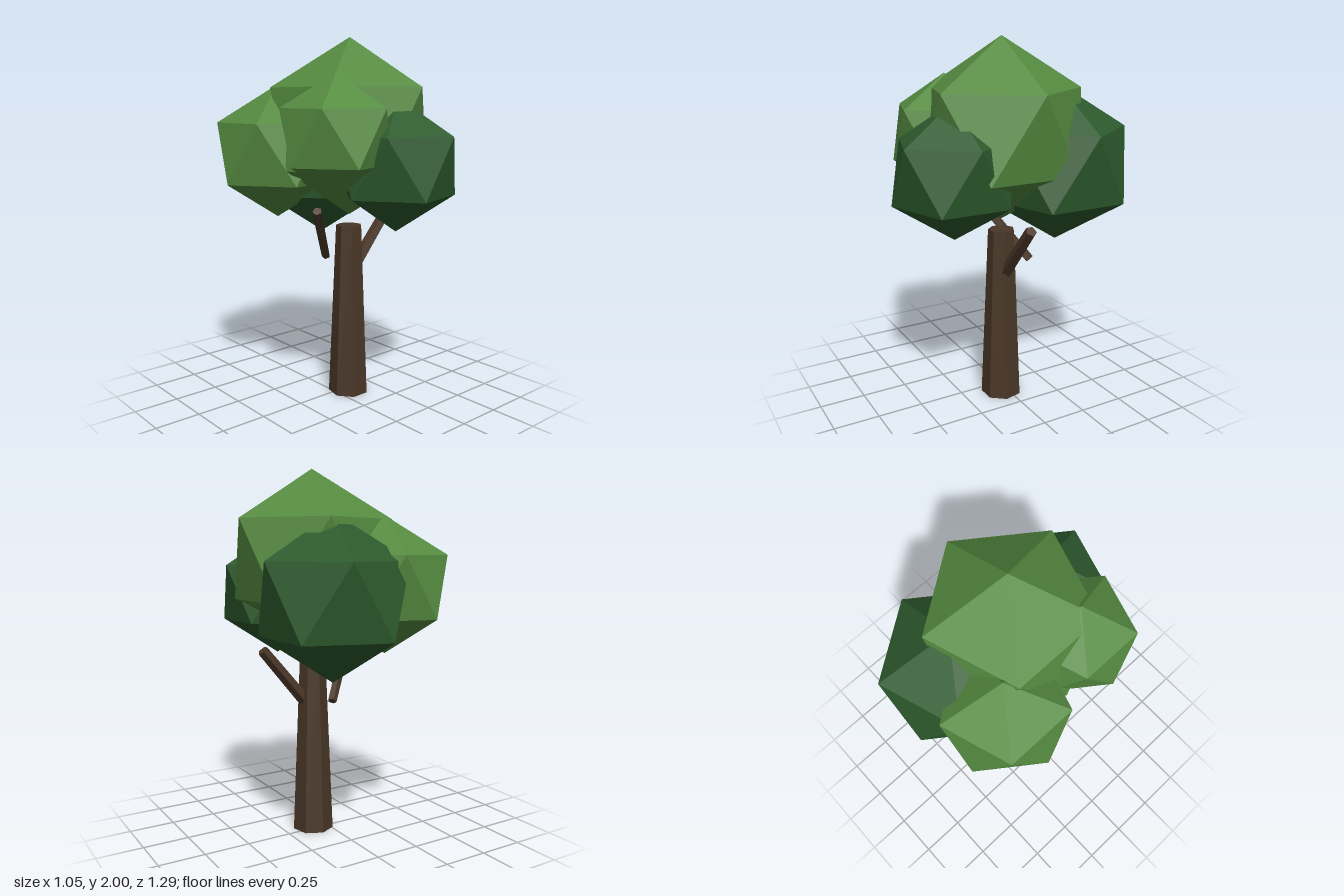
import * as THREE from 'three';

const material = (name, color) => {
  const m = new THREE.MeshStandardMaterial({ color });
  m.name = name;
  return m;
};

// Faceted cylinder geometry with flat normals
function facetedCylinder(rTop, rBottom, height, sides, start) {
  const g = new THREE.CylinderGeometry(rTop, rBottom, height, sides, 1, false, start).toNonIndexed();
  g.computeVertexNormals();
  return g;
}

// Icosahedron standing on a vertex, with one upper-ring vertex toward +x
function poleIcosahedron(radius) {
  const g = new THREE.IcosahedronGeometry(radius, 0);
  const phi = (1 + Math.sqrt(5)) / 2;
  const pole = new THREE.Vector3(0, 1, phi).normalize();
  const neighbour = new THREE.Vector3(0, -1, phi).normalize();
  const x = neighbour.addScaledVector(pole, -neighbour.dot(pole)).normalize();
  const z = new THREE.Vector3().crossVectors(x, pole);
  g.applyMatrix4(new THREE.Matrix4().makeBasis(x, pole, z).transpose());
  return g;
}

export function createModel() {
  const tree = new THREE.Group();
  tree.name = 'tree';
  const bark = material('bark brown', 0x4a3728);
  const light = material('light leaf green', 0x558b40);
  const dark = material('dark leaf green', 0x2d5a2d);

  const add = (name, geometry, mat) => {
    const mesh = new THREE.Mesh(geometry, mat);
    mesh.name = name;
    tree.add(mesh);
    return mesh;
  };

  // Tapered seven-sided trunk
  add('trunk', facetedCylinder(0.073, 0.114, 0.98, 7, Math.PI), bark).position.set(0.08, 0.49, 0.03);

  // Branches, from lower end to upper end
  const up = new THREE.Vector3(0, 1, 0);
  const branches = [
    ['leftBranch', [0.07, 0.77, -0.16], [-0.15, 1.08, 0.03], 0.025, 0.027],
    ['rightBranch', [0.13, 0.745, 0.03], [0.385, 1.045, 0.03], 0.036, 0.031],
  ];
  for (const [name, from, to, r0, r1] of branches) {
    const a = new THREE.Vector3(...from), b = new THREE.Vector3(...to);
    const mesh = add(name, facetedCylinder(r1, r0, a.distanceTo(b), 5, Math.PI / 2), bark);
    mesh.position.copy(a).lerp(b, 0.5);
    mesh.quaternion.setFromUnitVectors(up, b.sub(a).normalize());
  }

  // Leaf clumps: centre and radius
  const clumps = [
    ['crownFoliage', [0.08, 1.52, 0.03], 0.48, light],
    ['backRightFoliage', [0.14, 1.327, -0.28], 0.43, dark],
    ['frontRightFoliage', [0.135, 1.332, 0.34], 0.352, dark],
    ['backLeftFoliage', [-0.2, 1.385, -0.26], 0.363, light],
    ['frontLeftFoliage', [-0.188, 1.488, 0.23], 0.317, light],
  ];
  for (const [name, centre, radius, mat] of clumps) {
    add(name, poleIcosahedron(radius), mat).position.set(...centre);
  }
  // Flat facets on every clump
  tree.traverse((o) => o.isMesh && o.geometry.computeVertexNormals());
  return tree;
}
